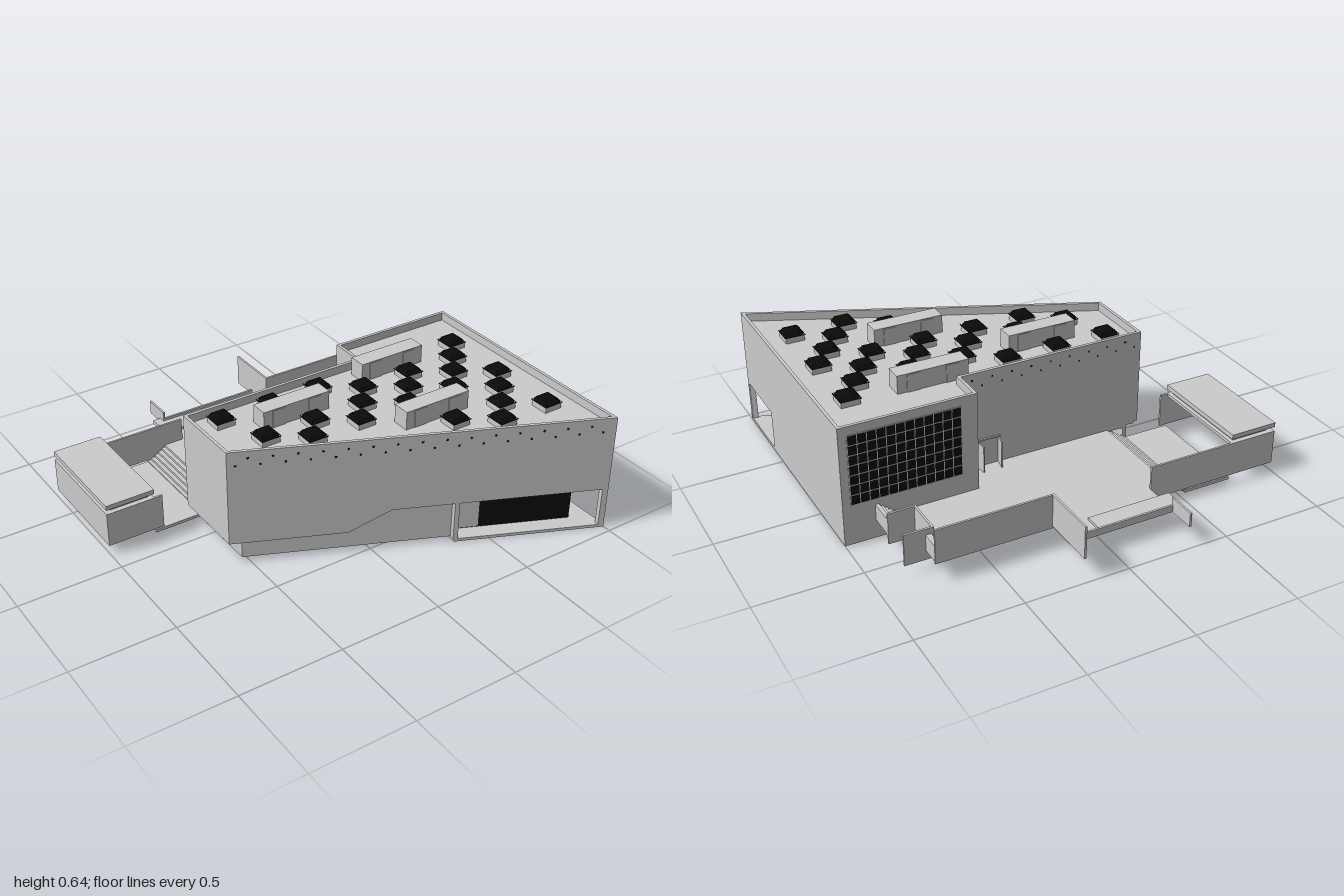
import * as THREE from 'three';

const grey = new THREE.MeshStandardMaterial({ color: 0xcccccc, flatShading: true });
const black = new THREE.MeshStandardMaterial({ color: 0x0a0a0a, flatShading: true });

// z of the slanted front at a given x
const slant = (x) => 0.25 + (x + 0.59) * 0.4465;

export function createModel() {
  const model = new THREE.Group();

  const add = (name, geometry, material = grey, parent = model) => {
    const mesh = new THREE.Mesh(geometry, material);
    mesh.name = name;
    parent.add(mesh);
    return mesh;
  };
  // Box given by its extents
  const block = (name, x0, x1, y0, y1, z0, z1, material, parent) => {
    const g = new THREE.BoxGeometry(x1 - x0, y1 - y0, z1 - z0);
    g.translate((x0 + x1) / 2, (y0 + y1) / 2, (z0 + z1) / 2);
    return add(name, g, material, parent);
  };
  // Upright prism over a plan outline of [x, z] points; a hole runs the opposite way round
  const prism = (name, plan, y0, y1, hole) => {
    const toVec = ([x, z]) => new THREE.Vector2(x, -z);
    const shape = new THREE.Shape(plan.map(toVec));
    if (hole) shape.holes.push(new THREE.Path(hole.map(toVec).reverse()));
    const g = new THREE.ExtrudeGeometry(shape, { depth: y1 - y0, bevelEnabled: false });
    g.rotateX(-Math.PI / 2).translate(0, y0, 0);
    return add(name, g);
  };
  // Panel drawn in x, y and sheared to lie along the slanted front
  const slantPanel = (name, outline, thickness, inset, material) => {
    const shape = new THREE.Shape(outline.map(([x, y]) => new THREE.Vector2(x, y)));
    const g = new THREE.ExtrudeGeometry(shape, { depth: thickness, bevelEnabled: false });
    const p = g.attributes.position;
    for (let i = 0; i < p.count; i++) p.setZ(i, p.getZ(i) + slant(p.getX(i)) - thickness - inset);
    g.computeVertexNormals();
    return add(name, g, material);
  };
  const rect = (x0, x1, y0, y1) => [[x0, y0], [x1, y0], [x1, y1], [x0, y1]];

  // Main hall: upper mass and parapet
  const plan = [[-0.59, -0.12], [0.35, -0.12], [0.35, -0.285], [1, -0.285], [1, 0.96], [-0.59, 0.25]];
  const inner = [[-0.575, -0.105], [0.365, -0.105], [0.365, -0.27], [0.985, -0.27], [0.985, 0.937], [-0.575, 0.24]];
  prism('upperHall', plan, 0.21, 0.55);
  prism('parapet', plan, 0.55, 0.59, inner);
  slantPanel('frontSkirt', [[-0.59, 0.11], [-0.1, 0.11], [0.08, 0.21], [-0.59, 0.21]], 0.03, 0);
  block('endSkirt', -0.59, -0.56, 0.11, 0.21, -0.12, 0.235);

  // Ground storey, recessed at the glazed front corner
  prism('lowerHall', [[-0.57, -0.12], [0.36, -0.12], [0.36, slant(0.36) - 0.02], [-0.57, slant(-0.57) - 0.02]], 0.1, 0.21);
  prism('entranceStorey', [[0.35, -0.285], [1, -0.285], [1, 0.62], [0.89, 0.62], [0.89, 0.81],
    [0.35, 0.57]], 0, 0.21);
  prism('entranceFloor', [[0.35, -0.285], [1, -0.285], [1, 0.96], [0.35, slant(0.35)]], 0, 0.015);
  slantPanel('lowerFrontWall', rect(-0.53, 0.36, 0.02, 0.21), 0.02, 0.02);
  block('lowerEndWall', -0.53, -0.51, 0.02, 0.11, -0.12, 0.245);
  slantPanel('entranceGlass', rect(0.36, 0.9, 0.015, 0.21), 0.01, 0.085, black);
  block('entranceSideGlass', 0.89, 0.9, 0.015, 0.21, 0.62, 0.823, black);
  slantPanel('entranceDoor', rect(0.41, 0.5, 0.02, 0.175), 0.01, 0.079);
  slantPanel('cornerPost', rect(0.975, 1, 0.015, 0.21), 0.02, 0);
  slantPanel('entranceJamb', rect(0.345, 0.365, 0.015, 0.21), 0.1, 0);

  // Rows of small holes in the front and back walls
  const holes = new THREE.Group();
  holes.name = 'wallHoles';
  model.add(holes);
  const half = 0.004;
  for (let i = 0; i < 31; i++) {
    const x = -0.555 + i * 0.05, y = i % 2 ? 0.555 : 0.52;
    block('frontHole', x - half, x + half, y - half, y + half, slant(x) - 0.01, slant(x) + 0.0025, black, holes);
    if (x < 0.33) block('backHole', x - half, x + half, y - half, y + half, -0.121, -0.115, black, holes);
  }

  // Roof lights: curb with a low dark dome
  const rows = [
    [-0.025, [-0.45, -0.19, 0.065, 0.85]], [0.09, [0.24, 0.5, 0.765]],
    [0.203, [-0.36, -0.103, 0.155, 0.415, 0.68]], [0.317, [-0.19, 0.068, 0.33, 0.59, 0.85]],
    [0.433, [0.765]], [0.548, [0.415, 0.678]], [0.662, [0.59, 0.85]],
  ];
  const dome = new THREE.BoxGeometry(0.1, 0.026, 0.1, 6, 1, 6);
  const dp = dome.attributes.position;
  for (let i = 0; i < dp.count; i++) {
    const r = Math.max(Math.abs(dp.getX(i)), Math.abs(dp.getZ(i))) / 0.05;
    if (dp.getY(i) > 0) dp.setY(i, -0.011 + 0.024 * Math.sqrt(Math.max(0, 1 - r * r)));
  }
  dome.computeVertexNormals();
  for (const [z, xs] of rows) for (const x of xs) {
    block('roofLightCurb', x - 0.046, x + 0.046, 0.55, 0.582, z - 0.046, z + 0.046);
    add('roofLightDome', dome, black).position.set(x, 0.592, z);
  }

  // Roof ventilation units with side flanges
  for (const [x, z] of [[0.285, -0.025], [-0.325, 0.088], [0.198, 0.432]]) {
    block('ventUnit', x, x + 0.347, 0.55, 0.64, z - 0.043, z + 0.043);
    for (const dx of [0.045, 0.235]) {
      block('ventFlange', x + dx, x + dx + 0.065, 0.55, 0.635, z - 0.047, z + 0.047);
    }
  }

  // Large gridded window on the back wing
  block('backWindow', 0.43, 0.96, 0.2, 0.545, -0.2865, -0.28, black);
  for (let i = 0; i <= 12; i++) {
    const x = 0.43 + i * 0.53 / 12;
    block('windowMullion', x - 0.002, x + 0.002, 0.2, 0.545, -0.288, -0.285);
  }
  for (let i = 0; i <= 7; i++) {
    const y = 0.2 + i * 0.345 / 7;
    block('windowTransom', 0.43, 0.96, y - 0.002, y + 0.002, -0.288, -0.285);
  }

  // Back doorway with two open leaves
  for (const x of [0.165, 0.275]) {
    const leaf = block('doorLeaf', -0.003, 0.003, 0.1, 0.235, -0.06, 0);
    leaf.position.set(x, 0, -0.12);
    leaf.rotation.y = x < 0.2 ? -0.2 : 0.1;
  }
  block('doorLintel', 0.16, 0.28, 0.235, 0.243, -0.128, -0.12);

  // Terrace deck
  prism('terraceDeck', [[-0.53, -0.12], [-0.42, -0.12], [-0.42, -0.65], [-0.325, -0.65], [-0.325, -0.835],
    [0.2, -0.835], [0.2, -0.695], [0.755, -0.695], [0.755, -0.595], [0.72, -0.59], [0.72, -0.41], [0.85, -0.41],
    [0.85, -0.28], [0.35, -0.28], [0.35, slant(0.35) - 0.04], [-0.53, slant(-0.53) - 0.04]], 0.09, 0.1);

  // Open steps from the deck down to the landing
  for (let i = 0; i < 5; i++) {
    const x = -0.42 - i * 0.02, y = 0.1 - (i + 1) * 0.012;
    block('landingTread', x - 0.022, x, y - 0.006, y, -0.65, -0.12);
    block('landingRiser', x - 0.004, x, y - 0.006, y + 0.012, -0.65, -0.12);
  }
  block('landing', -0.76, -0.515, 0.02, 0.035, -0.65, -0.12);

  // Landing walls and raised end slab
  block('landingBackWall', -1, -0.325, 0.045, 0.215, -0.655, -0.645);
  block('landingEndWall', -1, -0.99, 0.045, 0.215, -0.65, -0.115);
  block('landingFrontWall', -1, -0.72, 0.045, 0.215, -0.125, -0.115);
  block('endRoof', -1, -0.76, 0.2, 0.215, -0.65, -0.12);
  block('endSlabCore', -0.97, -0.78, 0.21, 0.24, -0.63, -0.14);
  block('endSlab', -1, -0.76, 0.237, 0.26, -0.655, -0.115);

  // Side steps rising from the deck
  for (let i = 0; i < 5; i++) {
    block('backStep', 0.62 + i * 0.027, 0.755, 0.1 + i * 0.014, 0.114 + i * 0.014, -0.69, -0.595);
    block('sideStep', 0.76 + i * 0.018, 0.85, 0.1 + i * 0.014, 0.114 + i * 0.014, -0.41, -0.285);
  }

  // Terrace parapets
  block('backParapet', 0.2, 0.76, 0.09, 0.26, -0.7, -0.69);
  block('balconyEndWall', 0.715, 0.725, 0.045, 0.2, -0.595, -0.41);
  block('balconyBackWall', 0.715, 0.855, 0.045, 0.2, -0.595, -0.585);
  block('balconyFrontWall', 0.715, 0.85, 0.045, 0.2, -0.418, -0.408);
  block('tallBackFin', 0.195, 0.205, 0.1, 0.26, -0.97, -0.69);
  block('lowBackFin', -0.33, -0.32, 0.09, 0.16, -0.97, -0.83);
  block('backKerb', -0.325, 0.2, 0.09, 0.125, -0.84, -0.83);
  block('backPlatform', -0.325, 0.045, 0.09, 0.112, -0.835, -0.73);
  block('platformEnd', -0.37, -0.325, 0.09, 0.112, -0.865, -0.73);

  return model;
}
